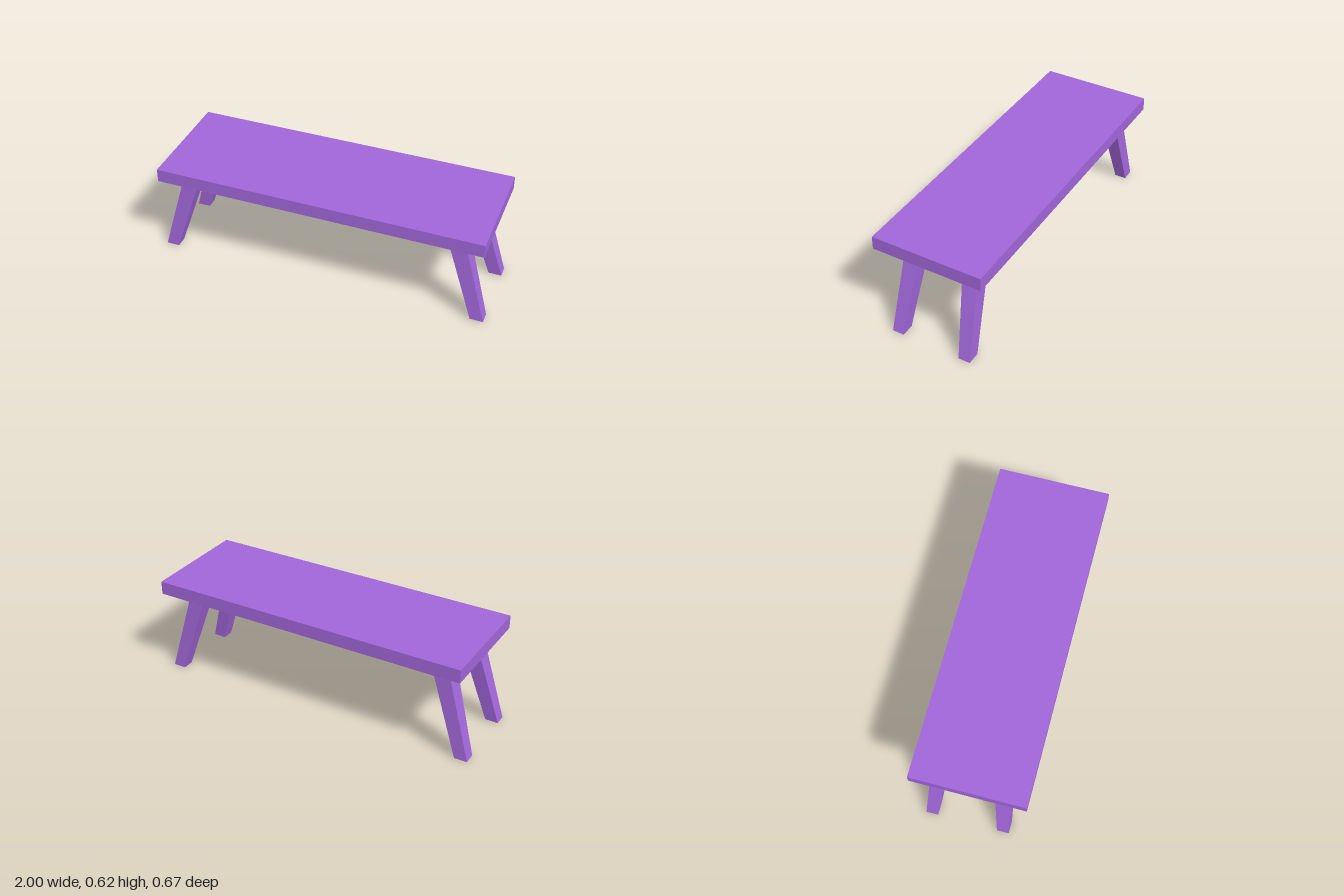
import * as THREE from 'three';

const TOP_Y = 0.62, UNDER_Y = 0.54;

// Splayed leg: a box whose ends are reshaped to [inner, outer] ranges in x and z
function legGeometry(sx, sz) {
  const foot = { x: [0.922, 1.0], z: [0.179, 0.25] };
  const head = { x: [0.743, 0.845], z: [0.129, 0.226] };
  const geo = new THREE.BoxGeometry(1, 1, 1);
  const p = geo.attributes.position;
  for (let i = 0; i < p.count; i++) {
    const upper = p.getY(i) > 0;
    const end = upper ? head : foot;
    const x = end.x[p.getX(i) * sx > 0 ? 1 : 0] * sx;
    const z = end.z[p.getZ(i) * sz > 0 ? 1 : 0] * sz;
    p.setXYZ(i, x, upper ? UNDER_Y : 0, z - 0.0085);
  }
  geo.computeVertexNormals();
  return geo;
}

export function createModel() {
  const group = new THREE.Group();
  group.name = 'bench';
  const material = new THREE.MeshStandardMaterial({ color: 0xa066d8, flatShading: true });

  // Seat slab, set slightly towards +x over the legs
  const seat = new THREE.Mesh(new THREE.BoxGeometry(1.941, TOP_Y - UNDER_Y, 0.666), material);
  seat.name = 'seat';
  seat.position.set(0.014, (TOP_Y + UNDER_Y) / 2, 0);
  group.add(seat);

  // Four legs, splayed outwards and tapering to the floor
  for (const sx of [1, -1]) {
    for (const sz of [1, -1]) {
      const leg = new THREE.Mesh(legGeometry(sx, sz), material);
      leg.name = (sz > 0 ? 'front' : 'back') + (sx > 0 ? 'Left' : 'Right') + 'Leg';
      group.add(leg);
    }
  }
  return group;
}
